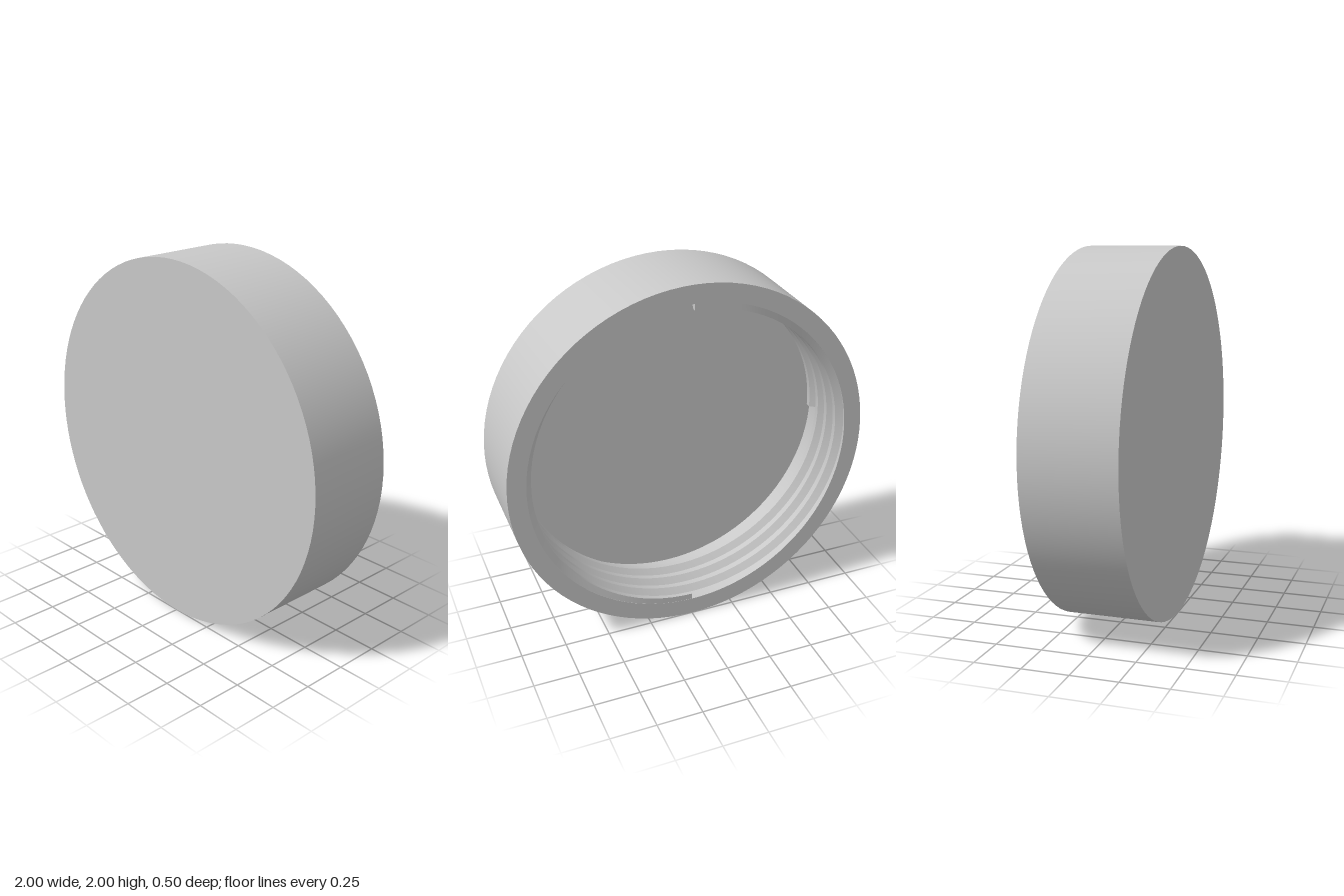
import * as THREE from 'three';
import { toCreasedNormals } from 'three/addons/utils/BufferGeometryUtils.js';

const RIM_Z = -0.25, FLOOR_Z = 0.15, BORE = 0.9;

// Cup profile turned about its axis, then laid so the closed end faces +z
function capGeometry() {
  const profile = [[0, -0.25], [1, -0.25], [1, 0.25], [BORE, 0.25], [BORE, -FLOOR_Z], [0, -FLOOR_Z]]
    .map(([r, y]) => new THREE.Vector2(r, y));
  const geometry = new THREE.LatheGeometry(profile, 96).rotateX(-Math.PI / 2);
  return toCreasedNormals(geometry, 0.6);
}

// One helical ridge with a trapezoid section, running from the floor to the rim
function threadGeometry(startAngle) {
  const turns = 1.75, lead = 0.2, steps = 168, startZ = 0.105;
  const section = [[BORE + 0.004, 0.044], [BORE - 0.035, 0.014], [BORE - 0.035, -0.014], [BORE + 0.004, -0.044]];
  const n = section.length, positions = [], index = [];
  for (let i = 0; i <= steps; i++) {
    const t = (i / steps) * turns;
    const angle = startAngle - t * Math.PI * 2;
    for (const [r, dz] of section) {
      const z = Math.max(RIM_Z + 0.001, startZ - t * lead + dz);
      positions.push(r * Math.cos(angle), r * Math.sin(angle), z);
    }
  }
  for (let i = 0; i < steps; i++) {
    for (let j = 0; j < n - 1; j++) {
      const a = i * n + j, d = a + n;
      index.push(a, a + 1, d + 1, a, d + 1, d);
    }
  }
  // End faces
  const e = steps * n;
  index.push(0, 2, 1, 0, 3, 2, e, e + 1, e + 2, e, e + 2, e + 3);
  const geometry = new THREE.BufferGeometry();
  geometry.setAttribute('position', new THREE.Float32BufferAttribute(positions, 3));
  geometry.setIndex(index);
  return toCreasedNormals(geometry, 0.5);
}

export function createModel() {
  const grey = new THREE.MeshStandardMaterial({ color: 0xc8c8c8 });
  grey.name = 'light grey';

  const model = new THREE.Group();
  model.name = 'screwCap';

  const add = (name, geometry) => {
    const mesh = new THREE.Mesh(geometry, grey);
    mesh.name = name;
    mesh.position.y = 1;
    model.add(mesh);
  };

  add('capBody', capGeometry());
  // Two thread starts on opposite sides
  add('leftThread', threadGeometry(0));
  add('rightThread', threadGeometry(Math.PI));
  return model;
}
